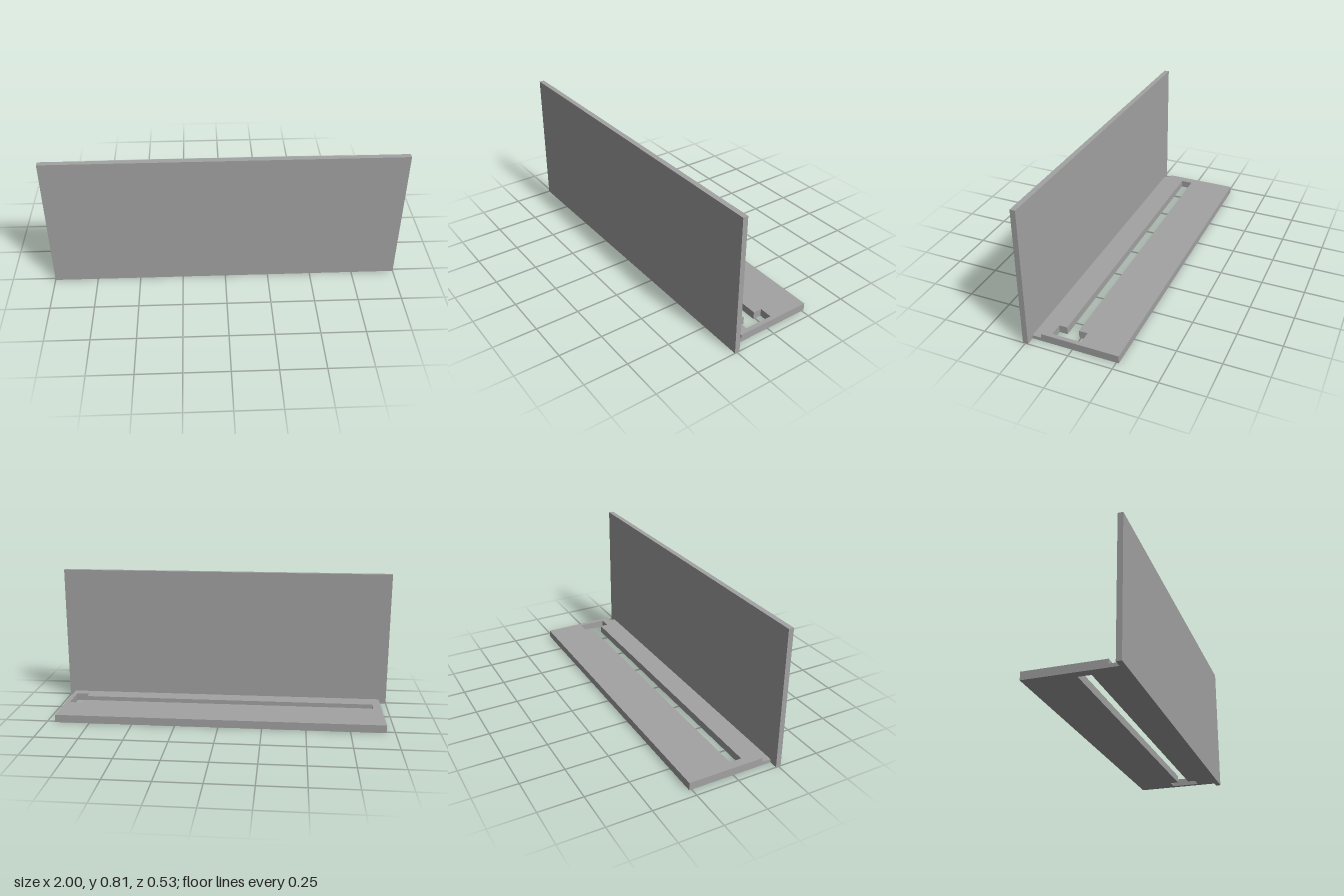
import * as THREE from 'three';

export function createModel() {
  const model = new THREE.Group();
  const grey = new THREE.MeshStandardMaterial({ color: 0xa3a3a3 });
  grey.name = 'plain grey';

  // Box given by its minimum and maximum corners
  function block(name, [x0, y0, z0], [x1, y1, z1]) {
    const mesh = new THREE.Mesh(new THREE.BoxGeometry(x1 - x0, y1 - y0, z1 - z0), grey);
    mesh.position.set((x0 + x1) / 2, (y0 + y1) / 2, (z0 + z1) / 2);
    mesh.name = name;
    model.add(mesh);
  }

  // Upright panel and the thin strip joining it to the base
  block('frontPanel', [-1, 0, 0.234], [1, 0.811, 0.264]);
  block('joiningStrip', [-0.95, 0, 0.182], [0.95, 0.02, 0.234]);

  // Base plate with a T-shaped slot, drawn in plan (x, z) and extruded upwards
  const plan = (points) => points.map(([x, z]) => new THREE.Vector2(x, -z));
  const outline = new THREE.Shape(plan([[-0.95, 0.182], [0.95, 0.182], [0.95, -0.264], [-0.95, -0.264]]));
  outline.holes.push(new THREE.Path(plan([
    [-0.9, 0.08], [-0.9, 0.01], [0.85, 0.01], [0.85, -0.04],
    [0.925, -0.04], [0.925, 0.127], [0.85, 0.127], [0.85, 0.08],
  ])));
  const geometry = new THREE.ExtrudeGeometry(outline, { depth: 0.045, bevelEnabled: false });
  geometry.rotateX(-Math.PI / 2);
  const base = new THREE.Mesh(geometry, grey);
  base.name = 'slottedBase';
  model.add(base);

  return model;
}
